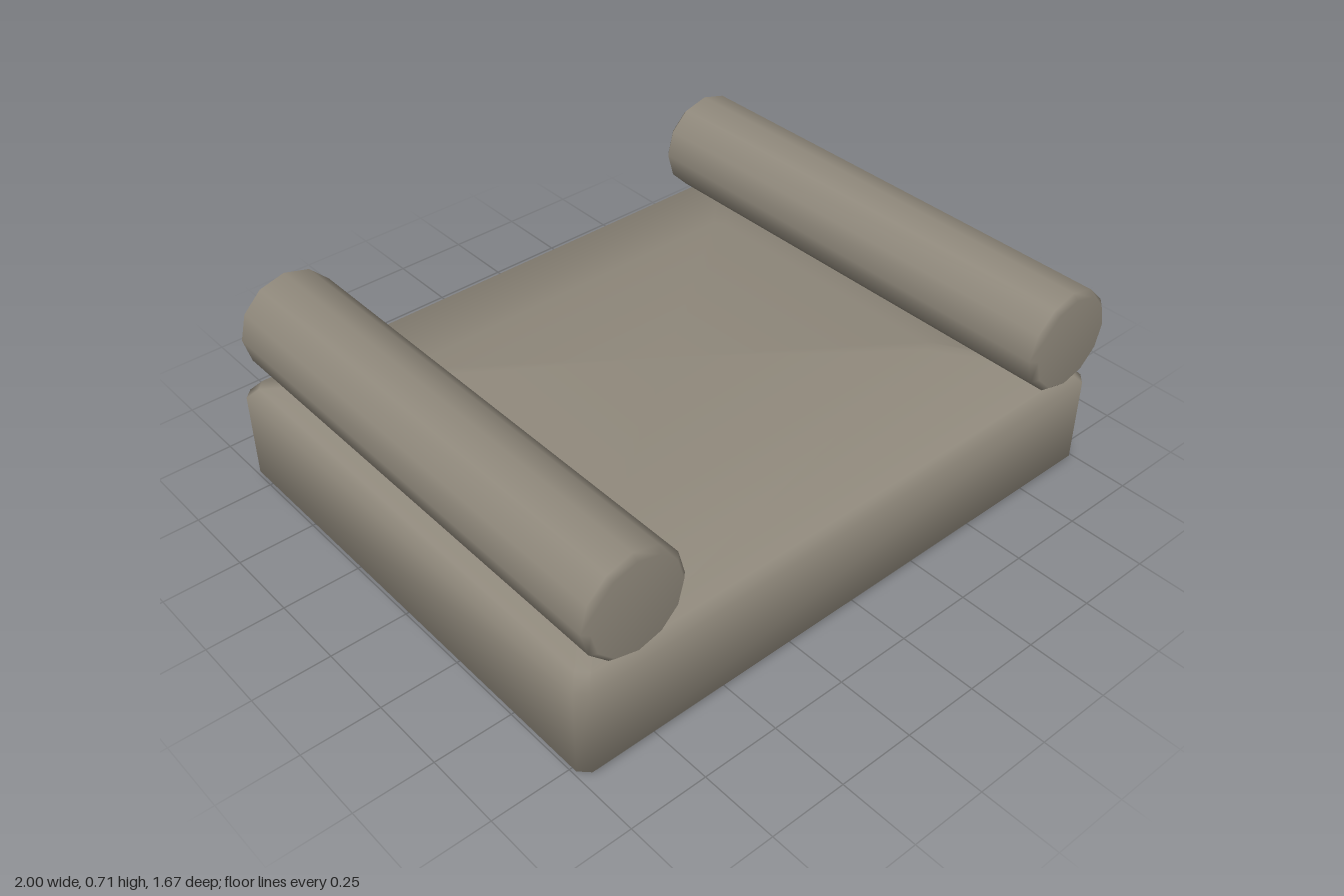
import * as THREE from 'three';

// Eight corners of a rectangle with clipped corners, each with its wall direction
function clippedRect(a, b, c) {
  return [
    [a, c - b, 1, 0], [a - c, -b, 0, -1], [c - a, -b, 0, -1], [-a, c - b, -1, 0],
    [-a, b - c, -1, 0], [c - a, b, 0, 1], [a - c, b, 0, 1], [a, b - c, 1, 0],
  ];
}

// Open-bottomed shell with softened edges and a gently crowned top
function baseGeometry() {
  const halfX = 1, halfZ = 0.8225, centreZ = -0.0125;
  // inset, height, upward tilt of the normal in degrees
  const rings = [
    [0.02, 0, -45], [0, 0.02, -22], [0, 0.31, 22],
    [0.03, 0.345, 61], [0.34, 0.41, 83],
  ];
  const positions = [], normals = [], index = [];
  for (const [inset, y, tilt] of rings) {
    const t = THREE.MathUtils.degToRad(tilt);
    for (const [x, z, dx, dz] of clippedRect(halfX - inset, halfZ - inset, 0.03)) {
      positions.push(x, y, z + centreZ);
      normals.push(dx * Math.cos(t), Math.sin(t), dz * Math.cos(t));
    }
  }
  for (let r = 0; r < rings.length - 1; r++) {
    for (let i = 0; i < 8; i++) {
      const a = r * 8 + i, b = r * 8 + (i + 1) % 8;
      index.push(a, b, b + 8, a, b + 8, a + 8);
    }
  }
  // Crown closing the top
  const first = (rings.length - 1) * 8, centre = rings.length * 8;
  positions.push(0, 0.42, centreZ);
  normals.push(0, 1, 0);
  for (let i = 0; i < 8; i++) index.push(first + i, first + (i + 1) % 8, centre);

  const geometry = new THREE.BufferGeometry();
  geometry.setAttribute('position', new THREE.Float32BufferAttribute(positions, 3));
  geometry.setAttribute('normal', new THREE.Float32BufferAttribute(normals, 3));
  geometry.setIndex(index);
  return geometry;
}

// Twelve-sided bolster with bevelled ends, lying along z
function bolsterGeometry() {
  const r = 0.166, h = 0.8125, bevel = 0.018;
  const profile = [
    [0, -h], [r - bevel, -h], [r, bevel - h],
    [r, h - bevel], [r - bevel, h], [0, h],
  ].map(([x, y]) => new THREE.Vector2(x, y));
  return new THREE.LatheGeometry(profile, 12).rotateX(Math.PI / 2);
}

export function createModel() {
  const group = new THREE.Group();
  group.name = 'seat';

  const fabric = new THREE.MeshStandardMaterial({ color: 0x8f887b, side: THREE.DoubleSide });
  fabric.name = 'warm grey fabric';

  const base = new THREE.Mesh(baseGeometry(), fabric);
  base.name = 'seatBase';
  group.add(base);

  // Matching armrest bolsters on both sides
  const bolster = bolsterGeometry();
  for (const side of [-1, 1]) {
    const arm = new THREE.Mesh(bolster, fabric);
    arm.name = side > 0 ? 'leftArmrest' : 'rightArmrest';
    arm.position.set(side * 0.83, 0.541, 0.0235);
    group.add(arm);
  }
  return group;
}
